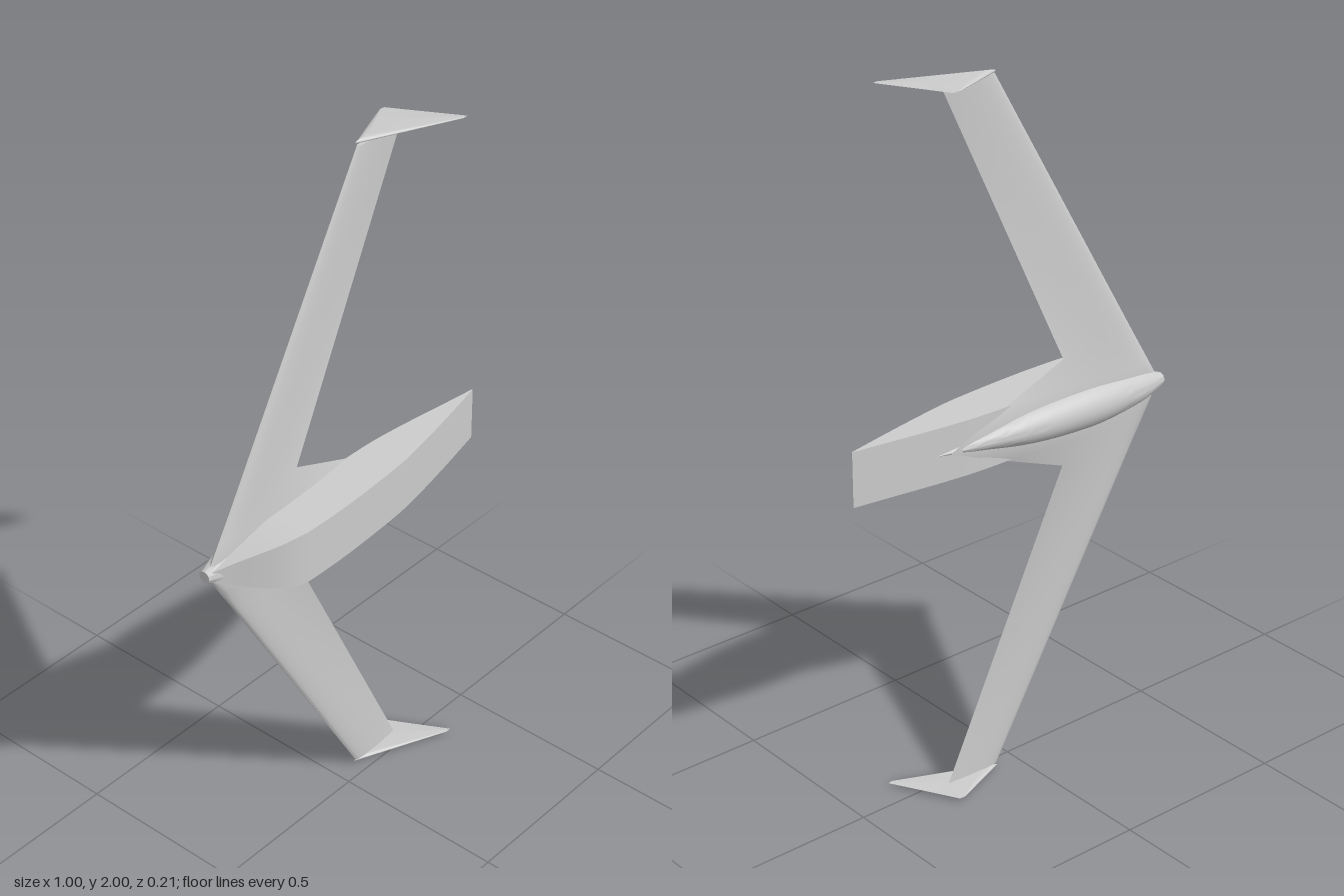
import * as THREE from 'three';
import { toCreasedNormals } from 'three/addons/utils/BufferGeometryUtils.js';

const material = new THREE.MeshStandardMaterial({ color: 0xcccccc, side: THREE.DoubleSide });

// Skin a list of equal-length rings of [x, y, z] and cap both ends
function loft(rings, crease = 0.6) {
  const n = rings[0].length;
  const positions = rings.flat(2);
  const index = [];
  for (let i = 0; i < rings.length - 1; i++) {
    for (let j = 0; j < n; j++) {
      const k = (j + 1) % n;
      const a = i * n + j, b = i * n + k, c = a + n, d = b + n;
      index.push(a, b, c, b, d, c);
    }
  }
  const last = (rings.length - 1) * n;
  for (let j = 1; j < n - 1; j++) {
    index.push(0, j + 1, j, last, last + j, last + j + 1);
  }
  const g = new THREE.BufferGeometry();
  g.setAttribute('position', new THREE.Float32BufferAttribute(positions, 3));
  g.setIndex(index);
  return toCreasedNormals(g, crease);
}

// Smooth a list of stations with a curve through each column; column 0 is x
function smooth(stations, steps) {
  const columns = stations[0].map((_, c) =>
    new THREE.SplineCurve(stations.map((s, i) => new THREE.Vector2(i, s[c]))));
  return Array.from({ length: steps + 1 }, (_, i) =>
    columns.map((curve) => curve.getPoint(i / steps).y));
}

// Symmetric aerofoil sections along y: [span, leading x, trailing x, z, thickness]
function foil(stations, sides = 32) {
  return loft(stations.map(([y, lead, trail, z, t]) =>
    Array.from({ length: sides }, (_, j) => {
      const a = Math.PI / 2 + (j / sides) * Math.PI * 2;
      const f = (1 + Math.sin(a)) / 2;
      const h = 5 * t * (0.2969 * Math.sqrt(f) - 0.126 * f - 0.3516 * f ** 2
        + 0.2843 * f ** 3 - 0.1036 * f ** 4);
      return [lead + f * (trail - lead), y, z + Math.sign(Math.cos(a)) * h];
    })));
}

export function createModel() {
  const model = new THREE.Group();
  const add = (name, geometry) => {
    const mesh = new THREE.Mesh(geometry, material);
    mesh.name = name;
    model.add(mesh);
    return mesh;
  };

  // Swept wing with a deeper root, mirrored about y = 1
  const half = [
    [0.078, -0.455, 0.035, -0.038, 0.046],
    [0.155, -0.41, -0.16, -0.037, 0.032],
    [0.985, 0.07, 0.237, -0.036, 0.014],
  ];
  const root = [0, -0.5, 0.22, -0.038, 0.054];
  const mirrored = half.map(([s, ...rest]) => [-s, ...rest]).reverse();
  add('wing', foil([...mirrored, root, ...half].map(([s, ...rest]) => [1 + s, ...rest])));

  // Slab-sided lower body: [x, half width, upper z, lower z]
  const hull = smooth([
    [-0.5, 0.013, -0.045, -0.03],
    [-0.45, 0.033, -0.042, 0.005],
    [-0.4, 0.052, -0.04, 0.042],
    [-0.35, 0.067, -0.04, 0.074],
    [-0.3, 0.077, -0.04, 0.094],
    [-0.25, 0.078, -0.04, 0.1],
    [-0.1, 0.078, -0.04, 0.099],
    [0.1, 0.078, -0.039, 0.086],
    [0.2, 0.078, -0.032, 0.071],
    [0.3, 0.078, -0.02, 0.052],
    [0.4, 0.078, -0.006, 0.031],
    [0.5, 0.078, 0.007, 0.009],
  ], 44);
  add('lowerBody', loft(hull.map(([x, w, top, low]) => [
    [x, 1 + w, top], [x, 1 + w, low], [x, 1 - w, low], [x, 1 - w, top],
  ])));

  // Rounded spine that tapers to a point toward the tail: [x, radius, z]
  const spine = smooth([
    [-0.505, 0.017, -0.042],
    [-0.45, 0.037, -0.038],
    [-0.4, 0.048, -0.036],
    [-0.3, 0.059, -0.035],
    [-0.22, 0.061, -0.035],
    [-0.1, 0.055, -0.035],
    [0, 0.043, -0.035],
    [0.1, 0.024, -0.034],
    [0.18, 0.011, -0.031],
    [0.25, 0.001, -0.026],
  ], 40);
  add('spine', loft(spine.map(([x, r, z]) =>
    Array.from({ length: 32 }, (_, j) => {
      const a = (j / 32) * Math.PI * 2;
      return [x, 1 + r * Math.cos(a), z + r * Math.sin(a)];
    }))));

  // Swept winglets, turned so their span runs along z
  const winglet = foil([
    [-0.105, 0.236, 0.255, 0, 0.003],
    [-0.04, 0.07, 0.29, 0, 0.016],
    [0.078, 0.338, 0.355, 0, 0.003],
  ]);
  winglet.rotateX(Math.PI / 2);
  add('upperWinglet', winglet).position.y = 1.992;
  add('lowerWinglet', winglet).position.y = 0.008;

  return model;
}
